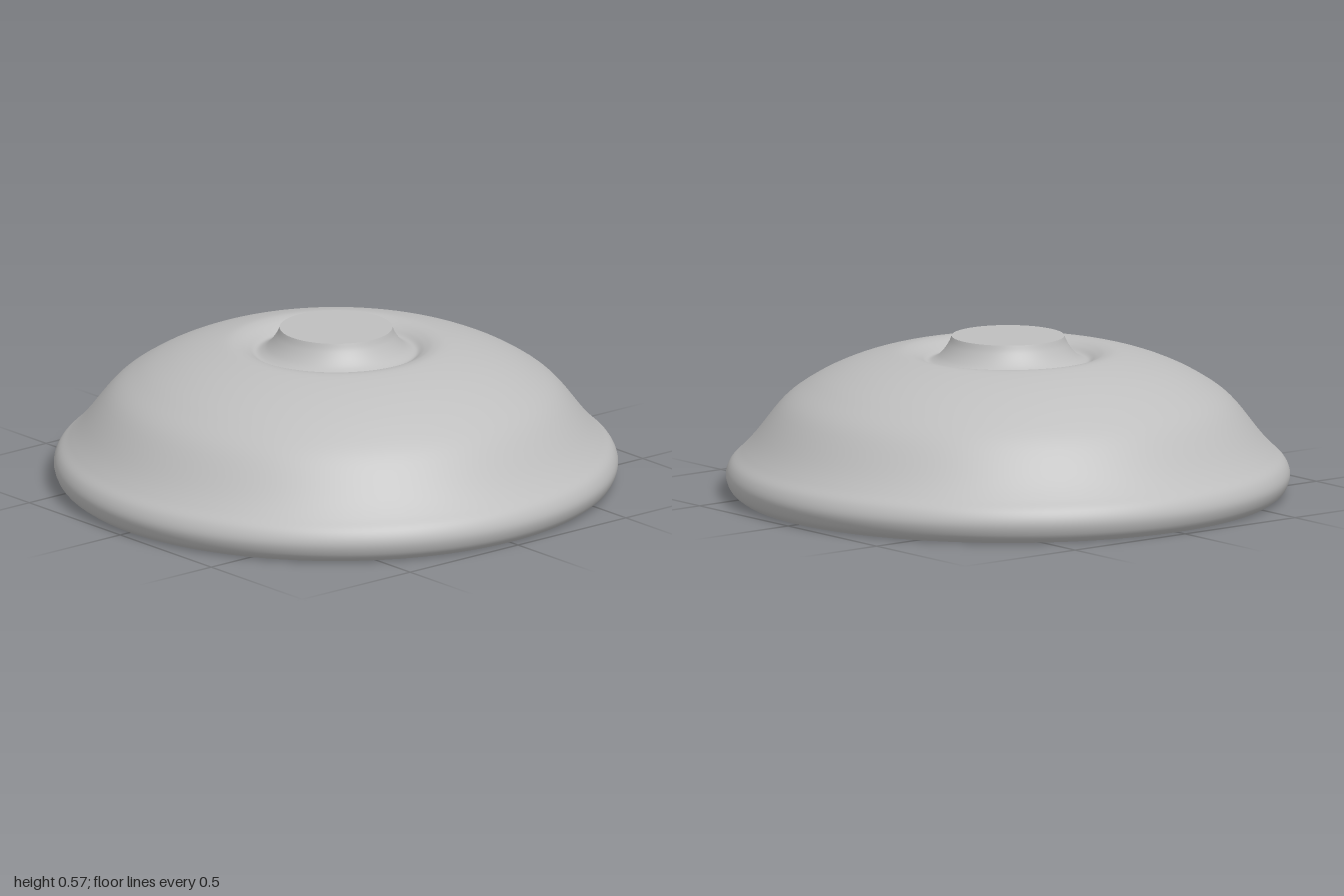
import * as THREE from 'three';

export function createModel() {
  const group = new THREE.Group();
  const grey = new THREE.MeshStandardMaterial({ color: 0xbebebe, side: THREE.DoubleSide });
  grey.name = 'grey';

  // Thin open shell: rolled rim, dome, shallow groove and flared neck
  const profile = new THREE.SplineCurve([
    [0.955, 0], [0.985, 0.025], [1, 0.07], [0.985, 0.115], [0.945, 0.155],
    [0.9, 0.205], [0.8, 0.33], [0.7, 0.403], [0.6, 0.453], [0.5, 0.488],
    [0.4, 0.511], [0.35, 0.51], [0.315, 0.497], [0.285, 0.48],
    [0.255, 0.491], [0.23, 0.515], [0.21, 0.545], [0.2, 0.57],
  ].map(([r, y]) => new THREE.Vector2(r, y)));
  const dome = new THREE.Mesh(new THREE.LatheGeometry(profile.getPoints(85), 96), grey);
  dome.name = 'domeShell';
  group.add(dome);

  // Flat disc closing the neck
  const cap = new THREE.Mesh(new THREE.CircleGeometry(0.2, 96).rotateX(-Math.PI / 2), grey);
  cap.name = 'neckCap';
  cap.position.y = 0.57;
  group.add(cap);

  return group;
}
